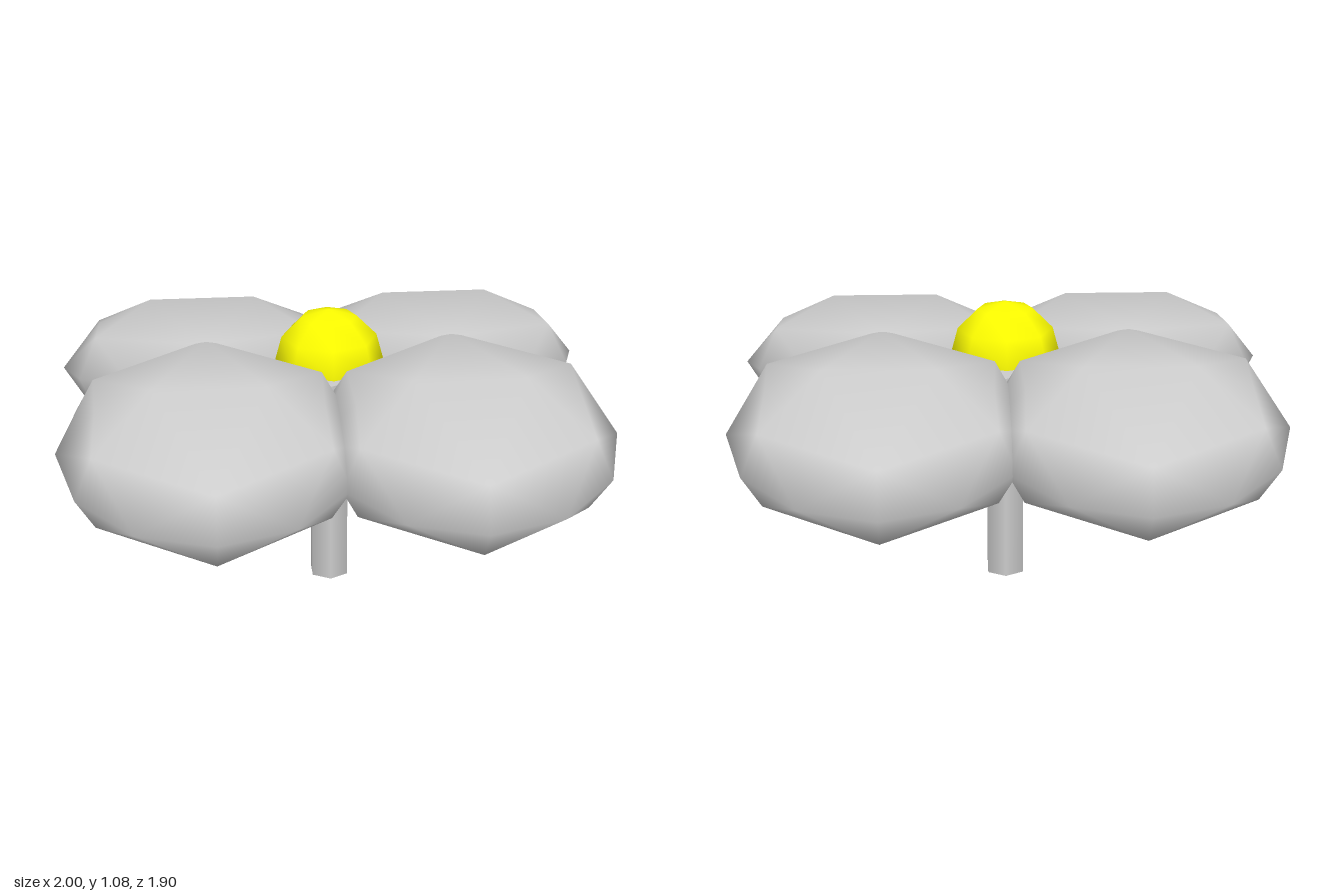
import * as THREE from 'three';
import { ConvexGeometry } from 'three/addons/geometries/ConvexGeometry.js';
import { mergeVertices } from 'three/addons/utils/BufferGeometryUtils.js';

// Low-poly flattened pebble: twelve-sided rim, a six-point shoulder ring and a short crown ridge
function petalGeometry() {
  const points = [];
  const ring = (count, rx, rz, y, offset) => {
    for (let i = 0; i < count; i++) {
      const a = offset + (i / count) * Math.PI * 2;
      points.push(new THREE.Vector3(rx * Math.cos(a), y, rz * Math.sin(a)));
    }
  };
  ring(12, 0.5455, 0.552, 0, 0);
  for (const side of [-1, 1]) {
    ring(6, 0.4726, 0.4726, side * 0.1475, Math.PI / 6);
    for (const x of [-1, 1]) {
      points.push(new THREE.Vector3(x * 0.2, side * 0.2555, 0));
      points.push(new THREE.Vector3(x * 0.4, side * 0.17, 0));
    }
  }
  // share corners so the facets shade smoothly
  let geometry = new ConvexGeometry(points);
  geometry.deleteAttribute('normal');
  geometry = mergeVertices(geometry, 1e-4);
  geometry.computeVertexNormals();
  return geometry;
}

export function createModel() {
  const group = new THREE.Group();
  const grey = new THREE.MeshStandardMaterial({ color: 0xcccccc });
  const yellow = new THREE.MeshStandardMaterial({ color: 0xffff00 });

  const add = (name, geometry, material, x, y, z) => {
    const mesh = new THREE.Mesh(geometry, material);
    mesh.name = name;
    mesh.position.set(x, y, z);
    group.add(mesh);
    return mesh;
  };

  // Four petals drooping towards the front and the back
  const petal = petalGeometry();
  for (const z of [1, -1]) {
    for (const x of [1, -1]) {
      const name = (z > 0 ? 'front' : 'back') + (x > 0 ? 'Left' : 'Right') + 'Petal';
      add(name, petal, grey, x * 0.4545, 0.72, z * 0.41).rotation.x = z * THREE.MathUtils.degToRad(12);
    }
  }

  // Domed flower centre with a closed underside
  add('flowerCentre', new THREE.SphereGeometry(0.203, 8, 3, 0, Math.PI * 2, 0, Math.PI / 2), yellow, 0, 0.873, 0);
  add('flowerCentreBase', new THREE.CircleGeometry(0.203, 8), yellow, 0, 0.873, 0).rotation.x = Math.PI / 2;

  // Stem
  add('stem', new THREE.CylinderGeometry(0.077, 0.077, 0.8, 6), grey, 0, 0.4, 0);

  return group;
}
